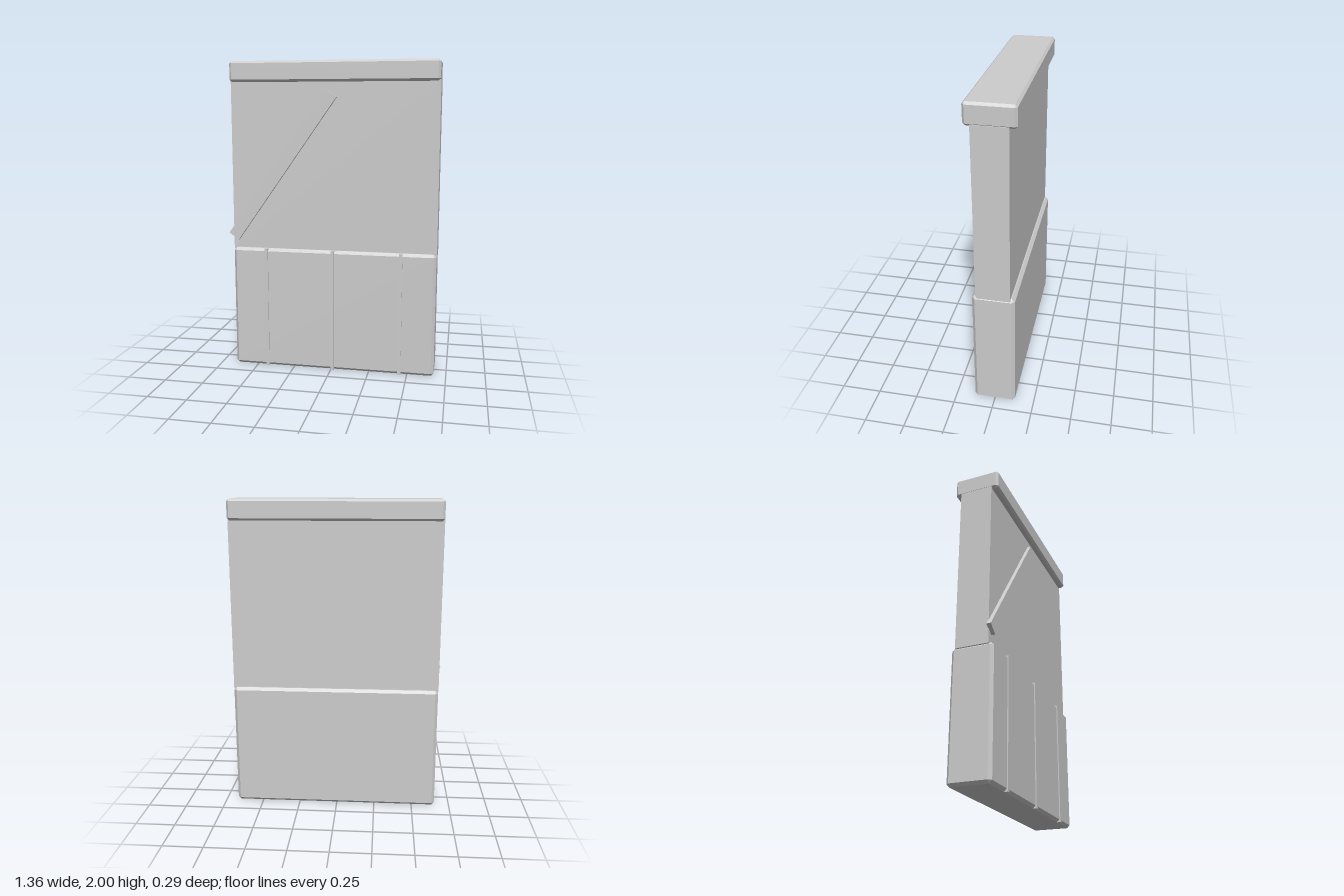
import * as THREE from 'three';
import { ConvexGeometry } from 'three/addons/geometries/ConvexGeometry.js';

const grey = new THREE.MeshStandardMaterial({ color: 0xcccccc });
grey.name = 'grey';

// Box with every edge cut at 45 degrees by c
function chamferBox(w, h, d, c) {
  const points = [];
  for (const sx of [-1, 1]) for (const sy of [-1, 1]) for (const sz of [-1, 1]) {
    for (let axis = 0; axis < 3; axis++) {
      const inset = [c, c, c];
      inset[axis] = 0;
      points.push(new THREE.Vector3(
        sx * (w / 2 - inset[0]), sy * (h / 2 - inset[1]), sz * (d / 2 - inset[2])));
    }
  }
  return new ConvexGeometry(points);
}

export function createModel() {
  const model = new THREE.Group();
  model.name = 'wallPanel';

  const add = (name, geometry, x, y, z) => {
    const mesh = new THREE.Mesh(geometry, grey);
    mesh.name = name;
    mesh.position.set(x, y, z);
    model.add(mesh);
    return mesh;
  };

  const cx = 0.01;
  const width = 1.325;

  // Wall: chamfered base, plain upper slab, chamfered cap
  add('lowerWall', chamferBox(width, 0.8, 0.26, 0.018), cx, 0.4, 0);
  add('upperWall', new THREE.BoxGeometry(width + 0.005, 1.09, 0.208), cx, 1.335, 0);
  add('topCap', chamferBox(width, 0.13, 0.29, 0.014), cx, 1.935, 0);

  // Thin upright battens on the front of the base
  for (const offset of [-0.44, 0, 0.44]) {
    add('batten', new THREE.BoxGeometry(0.022, 0.8, 0.026), cx + offset, 0.4, 0.124);
  }

  // Slanted brace across the upper wall
  const brace = add('diagonalBrace', new THREE.BoxGeometry(1.128, 0.078, 0.028), -0.323, 1.336, 0.114);
  brace.rotation.z = Math.atan2(0.921, 0.651);

  return model;
}
